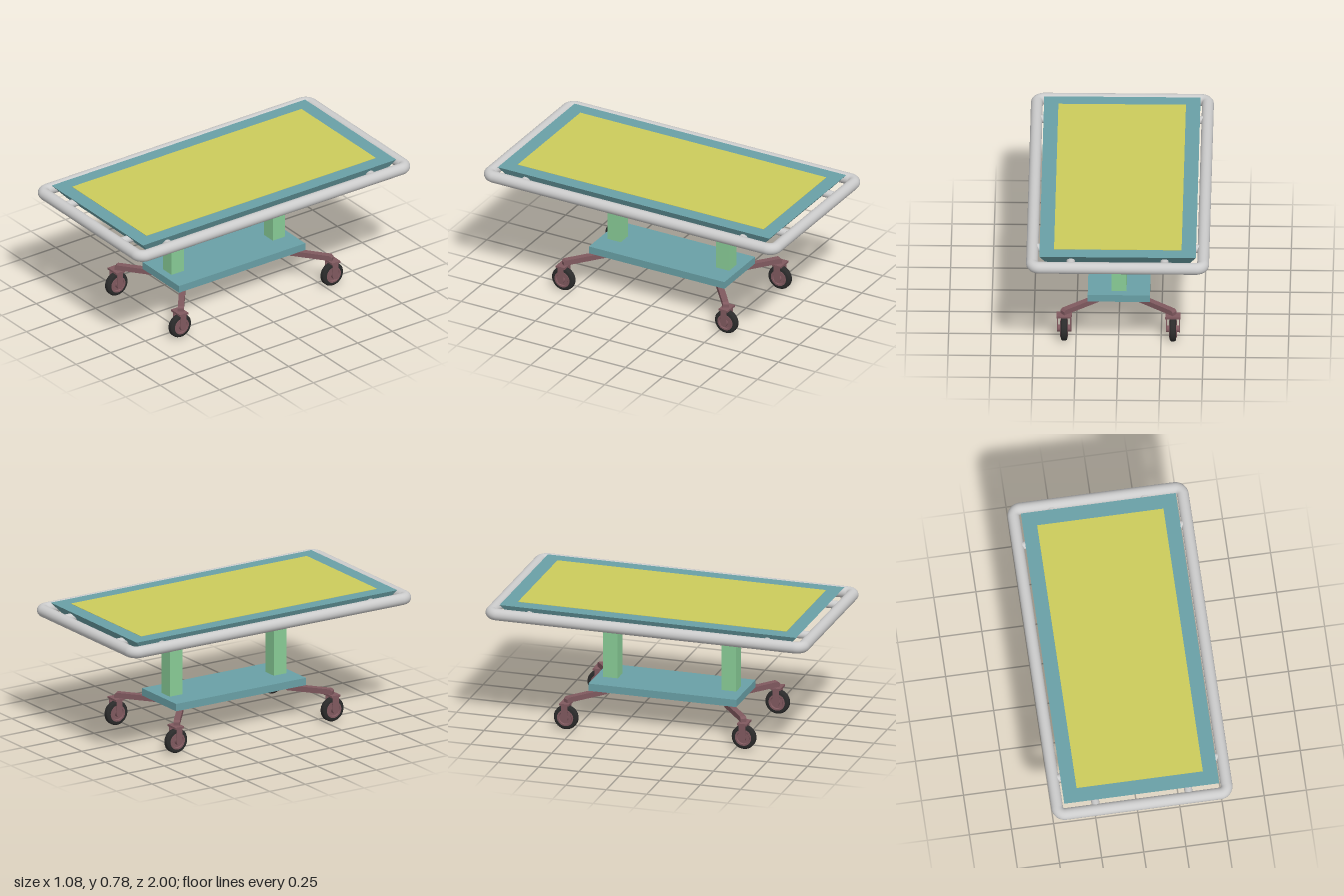
import * as THREE from 'three';

const mat = (color, extra = {}) => new THREE.MeshStandardMaterial({ color, ...extra });
const grey = mat(0xcccccc);
const teal = mat(0x69a0a6);
const yellow = mat(0xcccc5c);
const green = mat(0x88cc96);
const brown = mat(0x80595f);
const rubber = mat(0x2b2b2b);

function add(parent, name, geometry, material, x = 0, y = 0, z = 0) {
  const mesh = new THREE.Mesh(geometry, material);
  mesh.name = name;
  mesh.position.set(x, y, z);
  parent.add(mesh);
  return mesh;
}

const CORNERS = [[1, 1], [1, -1], [-1, -1], [-1, 1]];

// Table top: a box whose underside is drawn inwards, with a coloured panel on top
function buildTop() {
  const top = new THREE.Group();
  top.name = 'tableTop';
  const slab = new THREE.BoxGeometry(0.92, 0.09, 1.834);
  const p = slab.attributes.position;
  for (let i = 0; i < p.count; i++) {
    if (p.getY(i) < 0) p.setXYZ(i, p.getX(i) * 0.906, p.getY(i), p.getZ(i) * 0.913);
  }
  slab.computeVertexNormals();
  add(top, 'slab', slab, teal, 0, 0.735, 0);
  add(top, 'panel', new THREE.BoxGeometry(0.75, 0.01, 1.66), yellow, 0, 0.777, 0);
  return top;
}

// Bumper rail: four straight tubes, four quarter bends and short stand-offs
function buildRail() {
  const rail = new THREE.Group();
  rail.name = 'bumperRail';
  rail.position.y = 0.735;
  const r = 0.035, bend = 0.045, hx = 0.503, hz = 0.965;
  const sideTube = new THREE.CylinderGeometry(r, r, 2 * (hz - bend), 24, 1, true).rotateX(Math.PI / 2);
  const endTube = new THREE.CylinderGeometry(r, r, 2 * (hx - bend), 24, 1, true).rotateZ(Math.PI / 2);
  const elbow = new THREE.TorusGeometry(bend, r, 24, 12, Math.PI / 2).rotateX(Math.PI / 2);
  const sideStub = new THREE.CylinderGeometry(0.024, 0.024, 0.07, 20).rotateZ(Math.PI / 2);
  const endStub = new THREE.CylinderGeometry(0.024, 0.024, 0.09, 20).rotateX(Math.PI / 2);
  for (const s of [1, -1]) {
    add(rail, 'sideTube', sideTube, grey, s * hx, 0, 0);
    add(rail, 'endTube', endTube, grey, 0, 0, s * hz);
  }
  CORNERS.forEach(([sx, sz], i) => {
    const e = add(rail, 'elbow', elbow, grey, sx * (hx - bend), 0, sz * (hz - bend));
    e.rotation.y = i * Math.PI / 2;
    add(rail, 'sideStandoff', sideStub, grey, sx * 0.463, 0, sz * 0.735);
    add(rail, 'endStandoff', endStub, grey, sx * 0.276, 0, sz * 0.91);
  });
  return rail;
}

// Splayed leg bar with chamfered ends, running outwards along local +x
function legGeometry(length) {
  const h = 0.032, c = 0.012;
  const s = new THREE.Shape();
  s.moveTo(c, 0);
  s.lineTo(length, 0);
  s.lineTo(length, h - c);
  s.lineTo(length - c, h);
  s.lineTo(0, h);
  s.lineTo(0, c);
  s.closePath();
  const w = 0.036;
  return new THREE.ExtrudeGeometry(s, { depth: w, bevelEnabled: false }).translate(0, 0, -w / 2);
}

// Lathe profile of [radius, offset] pairs, turned about the x axis
const turned = (pts) => new THREE.LatheGeometry(pts.map(([r, x]) => new THREE.Vector2(r, x)), 36).rotateZ(Math.PI / 2);

// Caster: plate, fork with rounded cheeks, hub bosses, rim and tyre
function buildCaster() {
  const caster = new THREE.Group();
  caster.name = 'caster';
  const axleY = 0.0735;
  add(caster, 'mountPlate', new THREE.BoxGeometry(0.09, 0.012, 0.06), brown, 0, 0.162, 0);

  const cheek = new THREE.Shape();
  cheek.moveTo(0.02, 0.16);
  cheek.lineTo(-0.02, 0.16);
  cheek.lineTo(-0.02, axleY);
  cheek.absarc(0, axleY, 0.02, Math.PI, Math.PI * 2, false);
  cheek.closePath();
  const cheekGeo = new THREE.ExtrudeGeometry(cheek, { depth: 0.006, bevelEnabled: false, curveSegments: 16 })
    .translate(0, 0, -0.003).rotateY(Math.PI / 2);
  const boss = new THREE.CylinderGeometry(0.02, 0.02, 0.022, 20).rotateZ(Math.PI / 2);
  for (const s of [1, -1]) {
    add(caster, 'forkCheek', cheekGeo, brown, s * 0.039, 0, 0);
    add(caster, 'hubBoss', boss, brown, s * 0.03, axleY, 0);
  }

  const rim = turned([[0, -0.017], [0.036, -0.017], [0.04, -0.023], [0.05, -0.023],
    [0.05, 0.023], [0.04, 0.023], [0.036, 0.017], [0, 0.017]]);
  const tyre = turned([[0.046, -0.02], [0.062, -0.019], [0.07, -0.016], [0.0735, -0.01],
    [0.0735, 0.01], [0.07, 0.016], [0.062, 0.019], [0.046, 0.02]]);
  add(caster, 'rim', rim.toNonIndexed(), mat(0x80595f, { flatShading: true }), 0, axleY, 0);
  add(caster, 'tyre', tyre, rubber, 0, axleY, 0);
  return caster;
}

export function createModel() {
  const model = new THREE.Group();
  model.name = 'wheeledTable';
  model.add(buildTop(), buildRail());

  // Base plate and the two square posts
  add(model, 'basePlate', new THREE.BoxGeometry(0.366, 0.045, 0.914), teal, 0, 0.2225, 0);
  const post = new THREE.BoxGeometry(0.09, 0.46, 0.09);
  for (const s of [1, -1]) add(model, 'post', post, green, 0, 0.468, s * 0.366);

  // A leg and a caster at each corner
  const dx = 0.23, dz = 0.18;
  const leg = legGeometry(Math.hypot(dx, dz));
  for (const [sx, sz] of CORNERS) {
    const l = add(model, 'leg', leg, brown, sx * 0.1, 0.168, sz * 0.37);
    l.rotation.y = -Math.atan2(sz * dz, sx * dx);
    const caster = buildCaster();
    caster.position.set(sx * 0.32, 0, sz * 0.55);
    model.add(caster);
  }
  return model;
}
